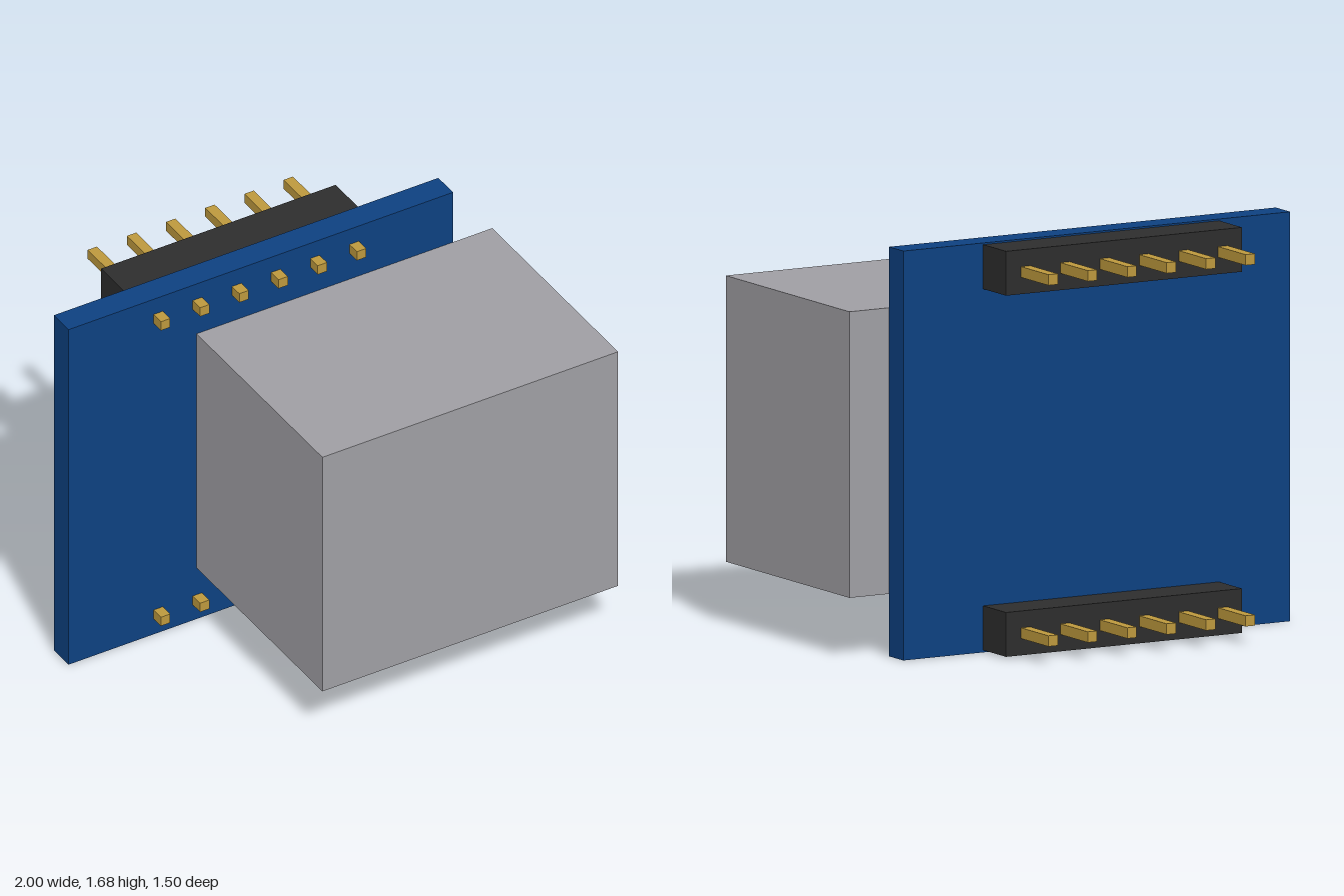
import * as THREE from 'three';

const material = (name, color) => {
  const m = new THREE.MeshStandardMaterial({ color });
  m.name = name;
  return m;
};

export function createModel() {
  const blue = material('board blue', 0x0d4080);
  const grey = material('housing grey', 0x9f9ea3);
  const black = material('header black', 0x2d2d2d);
  const gold = material('pin gold', 0xbc983d);

  // Box given by its extents along each axis
  const box = (name, mat, [x0, x1], [y0, y1], [z0, z1]) => {
    const mesh = new THREE.Mesh(new THREE.BoxGeometry(x1 - x0, y1 - y0, z1 - z0), mat);
    mesh.position.set((x0 + x1) / 2, (y0 + y1) / 2, (z0 + z1) / 2);
    mesh.name = name;
    return mesh;
  };

  const model = new THREE.Group();
  model.name = 'connectorBoard';

  // Circuit board and the block housing that overhangs its left edge
  model.add(box('circuitBoard', blue, [-1, 0.815], [0, 1.68], [-0.35, -0.235]));
  model.add(box('connectorHousing', grey, [-0.396, 1], [0.256, 1.43], [-0.235, 0.75]));

  // Two six-pin headers on the back, with pin ends poking through the front
  const pins = 6, pitch = 0.185, firstX = -0.577, half = 0.022;
  for (const [name, y] of [['lowerHeader', 0.1], ['upperHeader', 1.582]]) {
    const header = new THREE.Group();
    header.name = name;
    header.add(box('headerBody', black, [-0.667, 0.44], [y - 0.091, y + 0.091], [-0.532, -0.35]));
    for (let i = 0; i < pins; i++) {
      const x = firstX + i * pitch;
      header.add(box('pin', gold, [x - half, x + half], [y - half, y + half], [-0.75, -0.177]));
    }
    model.add(header);
  }
  return model;
}
